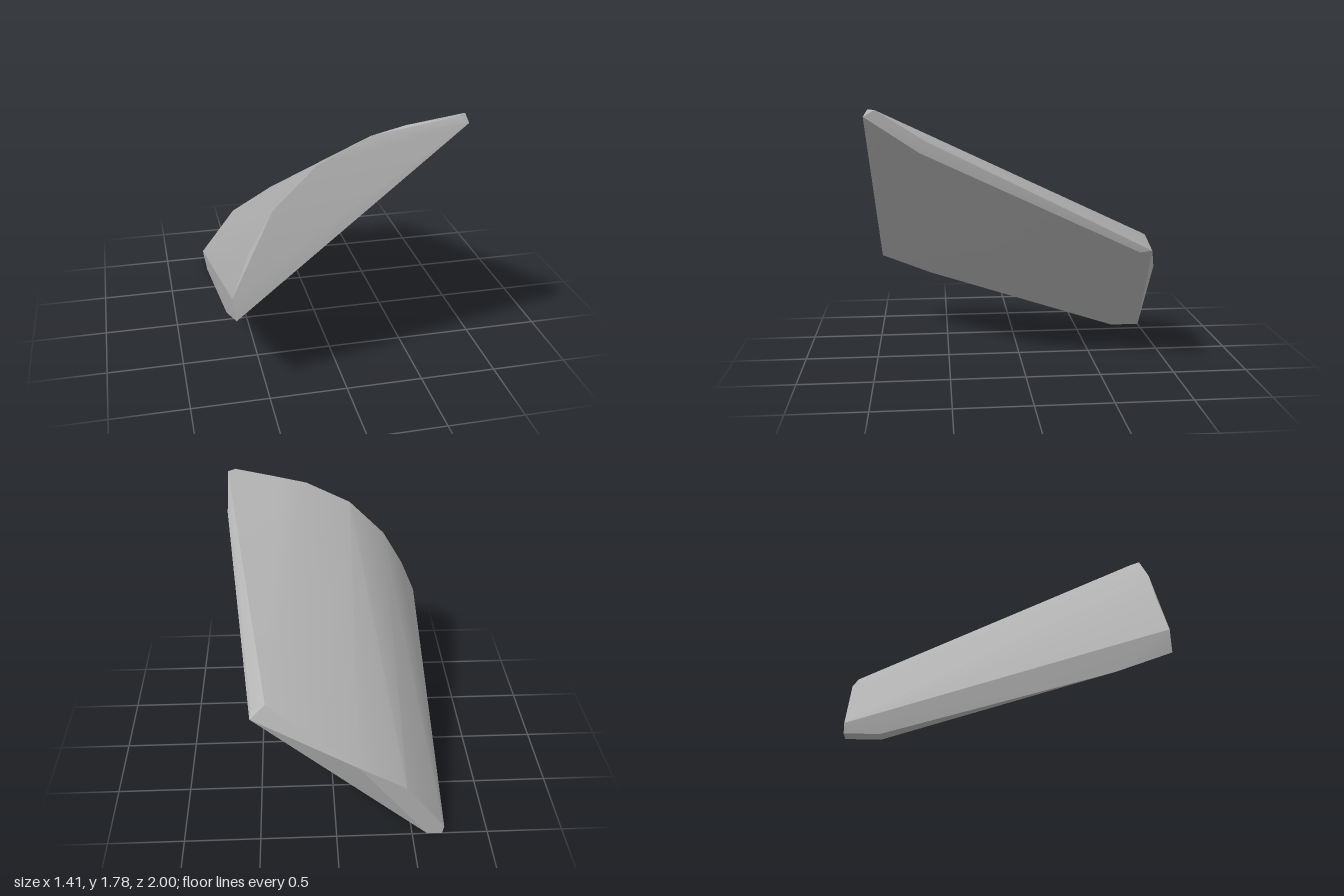
import * as THREE from 'three';
import { ConvexGeometry } from 'three/addons/geometries/ConvexGeometry.js';
import { toCreasedNormals } from 'three/addons/utils/BufferGeometryUtils.js';

// A faceted stone wedge: the hull of a few cross-sections, front to back
export function createModel() {
  const stone = new THREE.MeshStandardMaterial({ color: 0xb0b0b0 });
  stone.name = 'stone grey';

  // Arched upper rim of the front
  const frontArch = [
    [-0.71, 0.73, 0.975], [-0.6, 1.0, 0.935], [-0.45, 1.26, 0.93], [-0.19, 1.52, 0.93],
    [0.13, 1.68, 0.93], [0.34, 1.73, 0.93], [0.65, 1.78, 0.975], [0.7, 1.78, 0.93],
  ];
  // Lower corners of the front and the chamfered right edge
  const frontEdge = [
    [-0.69, 0.58, 0.985], [0.7, 1.74, 1.0], [-0.71, 0.43, 0.62],
    [0.7, 1.52, 0.67], [0.7, 1.59, 0.63],
  ];
  // Narrow tip at the back right
  const backTip = [
    [0.54, 0.84, -0.74], [0.54, 0.85, -0.82], [0.53, 0.89, -0.78], [0.44, 0.94, -0.79],
  ];
  // Back face and the small foot under it
  const backFoot = [
    [-0.14, 0.58, -1], [-0.45, 0.4, -1], [-0.71, 0.06, -1], [-0.7, 0, -1],
    [-0.6, 0, -1], [-0.7, 0, -0.79], [-0.6, 0, -0.79],
  ];

  const points = [...frontArch, ...frontEdge, ...backTip, ...backFoot]
    .map((p) => new THREE.Vector3(...p));
  const rock = new THREE.Mesh(toCreasedNormals(new ConvexGeometry(points), 0.3), stone);
  rock.name = 'rock';

  const group = new THREE.Group();
  group.name = 'stoneWedge';
  group.add(rock);
  return group;
}
